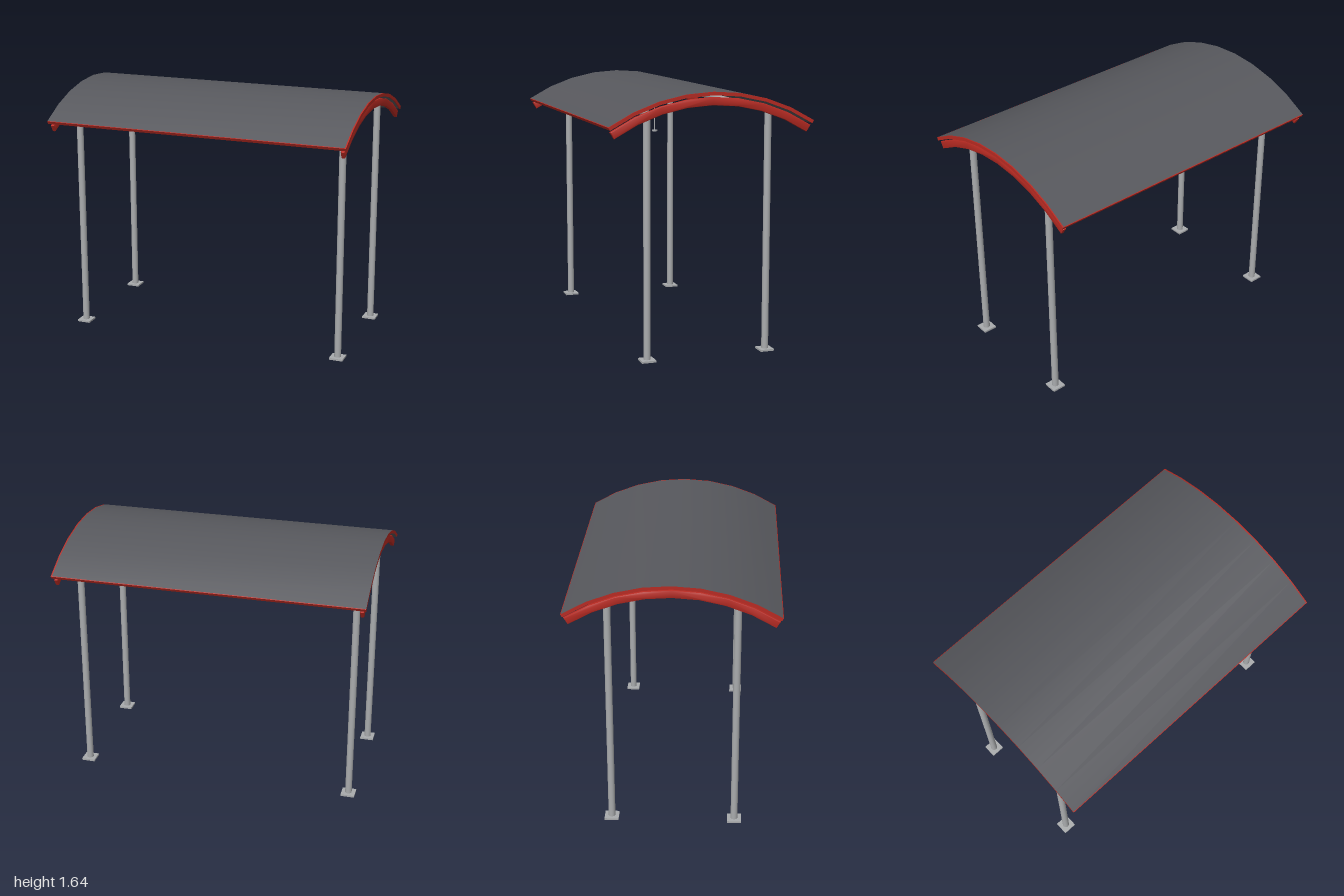
import * as THREE from 'three';
import { toCreasedNormals } from 'three/addons/utils/BufferGeometryUtils.js';

const CENTRE_Y = 0.425;   // centre of the roof curve
const HALF = 0.566;       // half of the arc angle
const SEGMENTS = 8;

// Curved band in the z-y plane, extruded along x and centred on x = 0
function arcBand(rIn, rOut, half, width, bevel = 0) {
  const pts = [];
  const at = (r, i) => {
    const a = half * (2 * i / SEGMENTS - 1);
    return new THREE.Vector2(r * Math.sin(a), CENTRE_Y + r * Math.cos(a));
  };
  for (let i = 0; i <= SEGMENTS; i++) pts.push(at(rOut, i));
  for (let i = SEGMENTS; i >= 0; i--) pts.push(at(rIn, i));
  const geo = new THREE.ExtrudeGeometry(new THREE.Shape(pts), {
    depth: width - 2 * bevel, bevelEnabled: bevel > 0,
    bevelSize: bevel, bevelThickness: bevel, bevelSegments: 2,
  });
  geo.translate(0, 0, bevel - width / 2);
  geo.rotateY(Math.PI / 2);
  return toCreasedNormals(geo, 0.5);
}

export function createModel() {
  const model = new THREE.Group();
  model.name = 'curvedShelter';

  const mat = (name, color) => {
    const m = new THREE.MeshStandardMaterial({ color });
    m.name = name;
    return m;
  };
  const roofGrey = mat('roofGrey', 0x57585d);
  const red = mat('red', 0xb82a22);
  const steel = mat('steel', 0xa9abad);

  const add = (name, geo, material, x = 0, y = 0, z = 0) => {
    const mesh = new THREE.Mesh(geo, material);
    mesh.name = name;
    mesh.position.set(x, y, z);
    model.add(mesh);
    return mesh;
  };

  // Roof sheet with red ends
  add('roof', arcBand(1.197, 1.218, HALF, 1.992), [red, roofGrey], -0.004);
  add('endTrim', arcBand(1.197, 1.218, HALF, 0.008), red, 0.996);

  // Red trim along the front and back eaves
  for (const s of [-1, 1]) {
    const trim = add('eaveTrim', new THREE.BoxGeometry(2, 0.021, 0.005), red, 0,
      CENTRE_Y + 1.2075 * Math.cos(HALF), s * 1.2075 * Math.sin(HALF));
    trim.rotation.x = s * HALF;
  }

  // Arched beams under both ends
  for (const s of [-1, 1]) {
    add('archBeam', arcBand(1.142, 1.179, HALF, 0.025, 0.006), red, s * 0.974);
  }

  // Posts, base plates and long rails
  for (const z of [-0.39, 0.39]) {
    for (const x of [-0.905, 0.905]) {
      add('post', new THREE.CylinderGeometry(0.022, 0.022, 1.52, 20), steel, x, 0.76, z);
      add('basePlate', new THREE.BoxGeometry(0.09, 0.012, 0.09), steel, x, 0.006, z);
    }
    const rail = add('rail', new THREE.CylinderGeometry(0.019, 0.019, 1.85, 16), steel, 0, 1.518, z);
    rail.rotation.z = Math.PI / 2;
  }

  // Hanging rod with a small plate at each end
  const rodZ = 0.037;
  add('hangingRod', new THREE.CylinderGeometry(0.004, 0.004, 0.31, 10), steel, 0, 1.46, rodZ);
  add('lowerDisc', new THREE.CylinderGeometry(0.018, 0.018, 0.01, 16), steel, 0, 1.306, rodZ);
  add('upperDisc', new THREE.CylinderGeometry(0.018, 0.018, 0.01, 16), steel, 0, 1.614, rodZ);

  return model;
}
